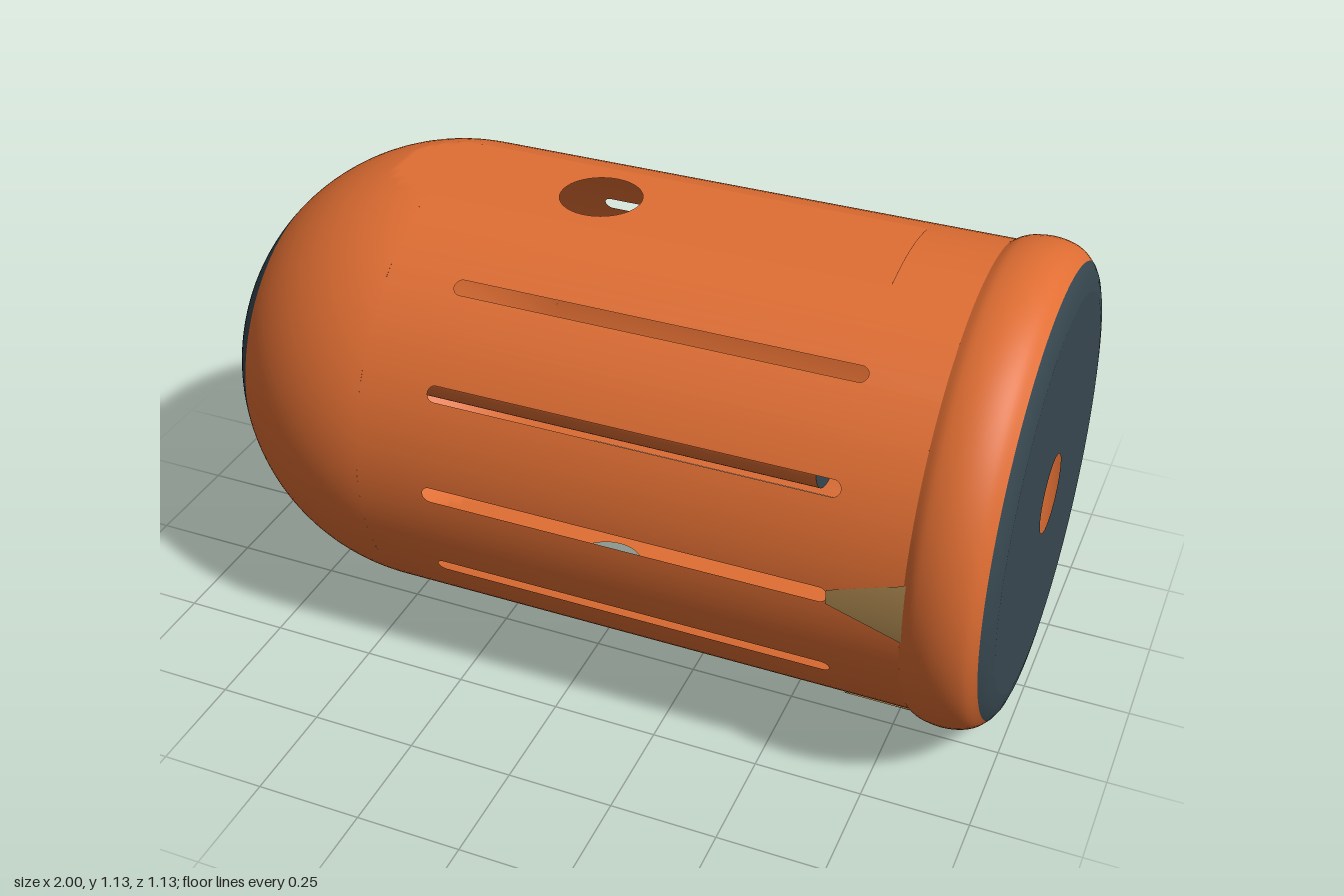
import * as THREE from 'three';

const R = 0.543;                 // shell radius
const FLAT = 0.525;              // height of the flats above and below the axis
const DOME_X = -0.46;            // where the dome starts
const STEP_X = 0.635;            // where the flats end
const RIM_X = 0.815;             // where the rim starts
const HALF = Math.acos(FLAT / R);        // half angle of a flat
const CHORD = Math.sqrt(R * R - FLAT * FLAT);
const PITCH = Math.PI / 7;       // angle between slots
const SLOT_W = 0.0185;           // half width of a slot

const mat = (name, color) => {
  const m = new THREE.MeshStandardMaterial({ color, side: THREE.DoubleSide });
  m.name = name;
  return m;
};

// Wraps a flat geometry (x along the axis, y as arc length) round the x axis
function bend(geo, angle, radius = R) {
  const p = geo.attributes.position, n = geo.attributes.normal;
  for (let i = 0; i < p.count; i++) {
    const a = angle + p.getY(i) / R, s = Math.sin(a), c = Math.cos(a);
    p.setXYZ(i, p.getX(i), radius * s, radius * c);
    n.setXYZ(i, 0, s, c);
  }
  return geo;
}

// Curved panel between two angles
function panel(x0, x1, a0, a1) {
  const seg = Math.max(2, Math.ceil((a1 - a0) / 0.05));
  const g = new THREE.PlaneGeometry(x1 - x0, (a1 - a0) * R, 1, seg);
  g.translate((x0 + x1) / 2, 0, 0);
  return bend(g, (a0 + a1) / 2);
}

// Narrow strip of shell holding one round-ended slot
const STRIP = 0.024;
function slotStrip(angle) {
  const s = new THREE.Shape();
  s.moveTo(DOME_X, -STRIP);
  s.lineTo(RIM_X, -STRIP);
  s.lineTo(RIM_X, STRIP);
  s.lineTo(DOME_X, STRIP);
  const h = new THREE.Path();
  h.absarc(0.655 - SLOT_W, 0, SLOT_W, -Math.PI / 2, Math.PI / 2, false);
  h.absarc(-0.295 + SLOT_W, 0, SLOT_W, Math.PI / 2, Math.PI * 1.5, false);
  s.holes.push(h);
  return bend(new THREE.ShapeGeometry(s, 10), angle);
}

// Turned part along x from [x, radius] points
function turned(points) {
  const g = new THREE.LatheGeometry(points.map(([x, r]) => new THREE.Vector2(r, x)), 128);
  return g.rotateZ(-Math.PI / 2);
}

const domePoints = (x0, x1, n) => Array.from({ length: n + 1 }, (_, i) => {
  const a0 = Math.acos((x0 - DOME_X) / R), a1 = Math.acos((x1 - DOME_X) / R);
  const a = a0 + (a1 - a0) * i / n;
  return [DOME_X + R * Math.cos(a), R * Math.sin(a)];
});

export function createModel() {
  const orange = mat('orange', 0xe06e33);
  const dark = mat('darkSlate', 0x37474f);
  const gold = mat('tan', 0xad8850);
  const model = new THREE.Group();
  model.name = 'slottedCapsule';
  model.position.y = 0.564;
  const root = new THREE.Group();
  root.name = 'capsule';
  root.add(model);
  const add = (name, geo, material, parent = model) => {
    const m = new THREE.Mesh(geo, material);
    m.name = name;
    parent.add(m);
    return m;
  };

  // Slotted side walls, five slots on each side
  for (const side of [0, Math.PI]) {
    const wall = new THREE.Group();
    wall.name = side ? 'backWall' : 'frontWall';
    model.add(wall);
    let from = side - Math.PI / 2 + HALF;
    for (let k = -2; k <= 2; k++) {
      const a = side + k * PITCH;
      add('wallPanel', panel(DOME_X, RIM_X, from, a - STRIP / R), orange, wall);
      add('slotStrip', slotStrip(a), orange, wall);
      from = a + STRIP / R;
    }
    add('wallPanel', panel(DOME_X, RIM_X, from, side + Math.PI / 2 - HALF), orange, wall);
  }

  // Flats above and below, each with a round hole and a step at the end
  for (const s of [1, -1]) {
    const flat = new THREE.Shape();
    flat.moveTo(DOME_X, -CHORD);
    flat.lineTo(STEP_X, -CHORD);
    flat.lineTo(STEP_X, CHORD);
    flat.lineTo(DOME_X, CHORD);
    const hole = new THREE.Path();
    hole.absarc(-0.09, 0, 0.095, 0, Math.PI * 2, false);
    flat.holes.push(hole);
    const g = new THREE.ShapeGeometry(flat, 32).rotateX(-s * Math.PI / 2);
    add(s > 0 ? 'topFlat' : 'bottomFlat', g.translate(0, s * FLAT, 0), orange);

    const mid = s * Math.PI / 2;
    add('collarPanel', panel(STEP_X, RIM_X, mid - HALF, mid + HALF), orange);
    const step = new THREE.Shape();
    step.absarc(0, 0, R, mid - HALF, mid + HALF, false);
    add('step', new THREE.ShapeGeometry(step, 16).rotateY(-Math.PI / 2).translate(STEP_X, 0, 0), orange);
  }

  // Dome, levelled where it meets the flats
  const dome = turned(domePoints(-0.86, DOME_X, 32));
  const p = dome.attributes.position, n = dome.attributes.normal;
  for (let i = 0; i < p.count; i++) {
    const y = p.getY(i);
    if (Math.abs(y) > FLAT) {
      p.setY(i, Math.sign(y) * FLAT);
      n.setXYZ(i, 0, Math.sign(y), 0);
    }
  }
  add('dome', dome, orange);

  // Dark nose ring with its opening
  add('noseRing', turned(domePoints(-0.924, -0.86, 6)), dark);
  add('noseFace', turned([[-0.924, 0.2], [-0.924, 0.28]]), dark);

  // Rounded rim and end plate
  const rim = new THREE.SplineCurve([[RIM_X, R], [0.84, 0.557], [0.88, 0.564], [0.92, 0.561],
    [0.955, 0.548], [0.98, 0.525]].map(([x, r]) => new THREE.Vector2(x, r)));
  add('rim', turned(rim.getPoints(24).map(v => [v.x, v.y])), orange);
  add('endPlateEdge', turned([[0.98, 0.525], [0.989, 0.51], [0.996, 0.488], [1, 0.46]]), dark);
  add('endPlate', turned([[1, 0.46], [1, 0.092]]), dark);

  // Central rod with dark ends
  const rod = new THREE.CylinderGeometry(0.107, 0.107, 1.485, 64, 1);
  add('rod', rod.rotateZ(-Math.PI / 2).translate(-0.2575, 0, 0), [orange, dark, dark]);

  // Flared marks at the ends of three slots
  for (const k of [0, 8, 12]) {
    const g = new THREE.PlaneGeometry(0.167, 2, 1, 10);
    const q = g.attributes.position;
    for (let i = 0; i < q.count; i++) {
      const t = q.getX(i) / 0.167 + 0.5;
      q.setXY(i, 0.653 + 0.167 * t, q.getY(i) * (0.018 + 0.057 * t));
    }
    add('flaredMark', bend(g, k * PITCH, R + 0.003), gold);
  }
  return root;
}
